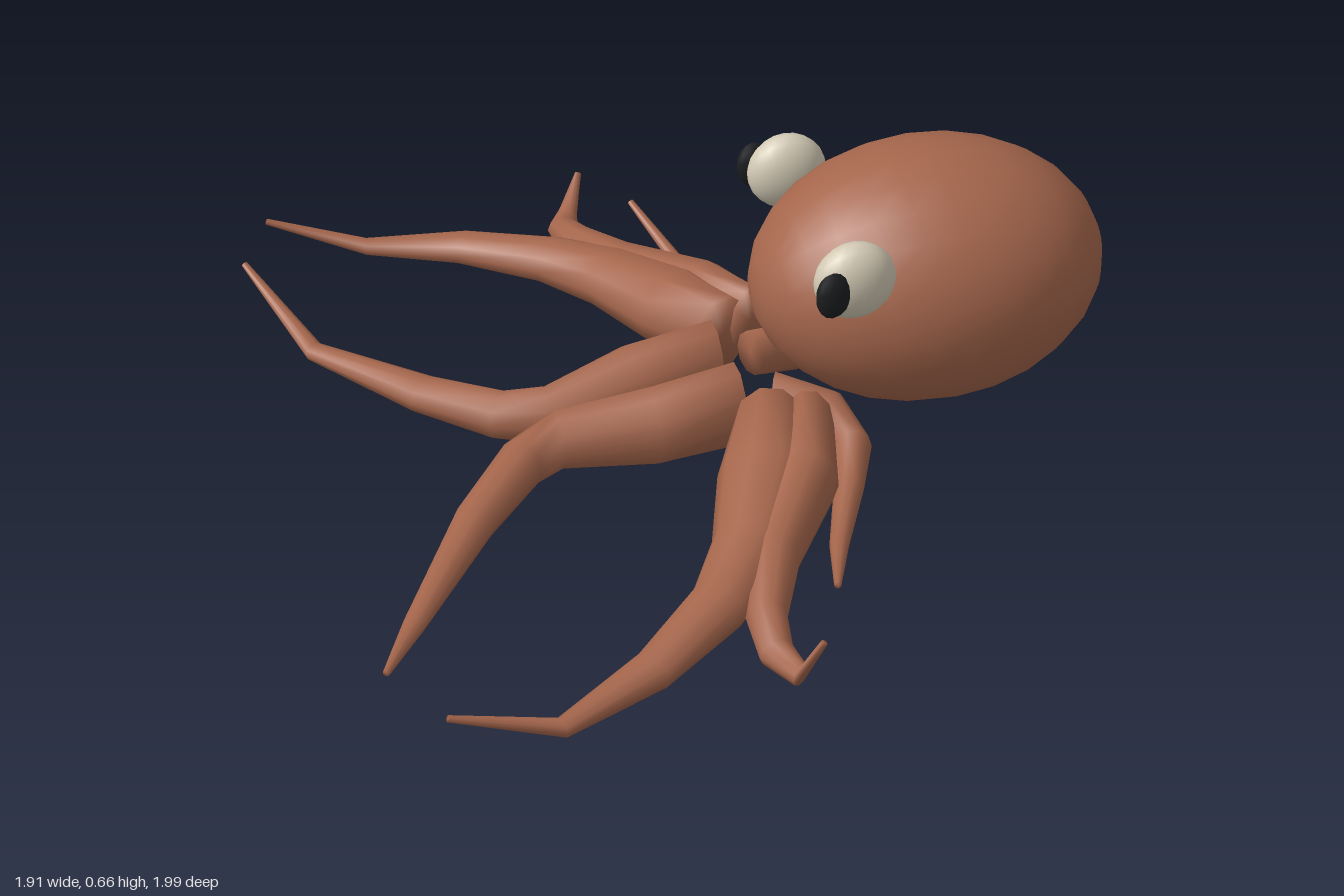
import * as THREE from 'three';

const skin = new THREE.MeshStandardMaterial({ color: 0xa5664c });
skin.name = 'terracotta skin';
const white = new THREE.MeshStandardMaterial({ color: 0xd3cab5 });
white.name = 'cream eye';
const black = new THREE.MeshStandardMaterial({ color: 0x1c1e20 });
black.name = 'black pupil';

const UP = new THREE.Vector3(0, 1, 0);
const SIDES = 10;

// Arm sections from root to tip: [x, y, z, half width, half height]
const ARMS = {
  frontArm: [
    [0.04, 0.125, 0.09, 0.085, 0.105], [-0.16, 0.105, 0.09, 0.09, 0.095],
    [-0.38, 0.083, 0.05, 0.065, 0.073], [-0.48, 0.072, 0.1, 0.058, 0.06],
    [-0.63, 0.055, 0.26, 0.05, 0.045], [-0.835, 0.03, 0.545, 0.026, 0.022],
    [-0.948, 0.138, 0.81, 0.008, 0.008],
  ],
  secondArm: [
    [0.09, 0.125, 0.19, 0.085, 0.105], [0.02, 0.108, 0.37, 0.11, 0.095],
    [-0.08, 0.085, 0.57, 0.088, 0.075], [-0.2, 0.067, 0.72, 0.068, 0.057],
    [-0.39, 0.05, 0.865, 0.05, 0.04], [-0.615, 0.032, 0.965, 0.024, 0.022],
    [-0.86, 0.138, 0.988, 0.007, 0.008],
  ],
  thirdArm: [
    [0.17, 0.13, 0.22, 0.06, 0.095], [0.1, 0.108, 0.4, 0.08, 0.09],
    [-0.04, 0.08, 0.61, 0.06, 0.07], [-0.11, 0.062, 0.78, 0.046, 0.05],
    [-0.12, 0.045, 0.88, 0.04, 0.035], [-0.09, 0.035, 0.955, 0.026, 0.024],
    [-0.05, 0.138, 0.985, 0.008, 0.008],
  ],
  backArm: [
    [0.13, 0.13, 0.09, 0.045, 0.06], [0.25, 0.085, 0.15, 0.055, 0.065],
    [0.27, 0.06, 0.25, 0.045, 0.05], [0.22, 0.045, 0.37, 0.035, 0.034],
    [0.135, 0.028, 0.55, 0.022, 0.02], [0.04, 0.138, 0.81, 0.008, 0.008],
  ],
};

// Tapered limb through elliptical cross-sections, closed at both ends
function armGeometry(sections, side) {
  const points = sections.map(([x, y, z]) => new THREE.Vector3(x, y, z * side));
  const last = points.length - 1;
  const pos = [];
  const index = [];
  points.forEach((p, i) => {
    const tangent = points[Math.min(i + 1, last)].clone().sub(points[Math.max(i - 1, 0)]);
    // Keep the resting part level; only the tip tilts upward
    if (i < last) tangent.y = 0;
    tangent.normalize();
    const across = UP.clone().cross(tangent).normalize();
    const over = tangent.clone().cross(across);
    const [, , , w, h] = sections[i];
    for (let j = 0; j < SIDES; j++) {
      const a = (j / SIDES) * Math.PI * 2;
      const v = p.clone().addScaledVector(across, w * Math.cos(a)).addScaledVector(over, h * Math.sin(a));
      pos.push(v.x, v.y, v.z);
    }
  });
  const root = points.length * SIDES;
  pos.push(...points[0].toArray(), ...points[last].toArray());
  for (let j = 0; j < SIDES; j++) {
    const k = (j + 1) % SIDES;
    for (let i = 0; i < last; i++) {
      const a = i * SIDES + j, b = i * SIDES + k;
      index.push(a, b, a + SIDES, b, b + SIDES, a + SIDES);
    }
    index.push(root, k, j, root + 1, last * SIDES + j, last * SIDES + k);
  }
  const geo = new THREE.BufferGeometry();
  geo.setAttribute('position', new THREE.Float32BufferAttribute(pos, 3));
  geo.setIndex(index);
  geo.computeVertexNormals();
  return geo;
}

// Ellipsoid with its poles on the x axis
function ellipsoid(name, material, center, radii, w, h) {
  const geo = new THREE.SphereGeometry(1, w, h).rotateZ(Math.PI / 2).scale(...radii);
  const mesh = new THREE.Mesh(geo, material);
  mesh.name = name;
  mesh.position.set(...center);
  return mesh;
}

export function createModel() {
  const model = new THREE.Group();
  model.name = 'octopus';

  model.add(ellipsoid('head', skin, [0.53, 0.357, 0], [0.425, 0.309, 0.326], 24, 14));

  for (const side of [1, -1]) {
    const label = side > 0 ? 'Left' : 'Right';
    // Eye and pupil
    model.add(ellipsoid('eye' + label, white, [0.265, 0.523, 0.245 * side], [0.095, 0.095, 0.062], 16, 12));
    model.add(ellipsoid('pupil' + label, black, [0.198, 0.523, 0.293 * side], [0.04, 0.06, 0.023], 10, 8));
    // Four arms on each side
    for (const [name, sections] of Object.entries(ARMS)) {
      const arm = new THREE.Mesh(armGeometry(sections, side), skin);
      arm.name = name + label;
      model.add(arm);
    }
  }
  return model;
}
